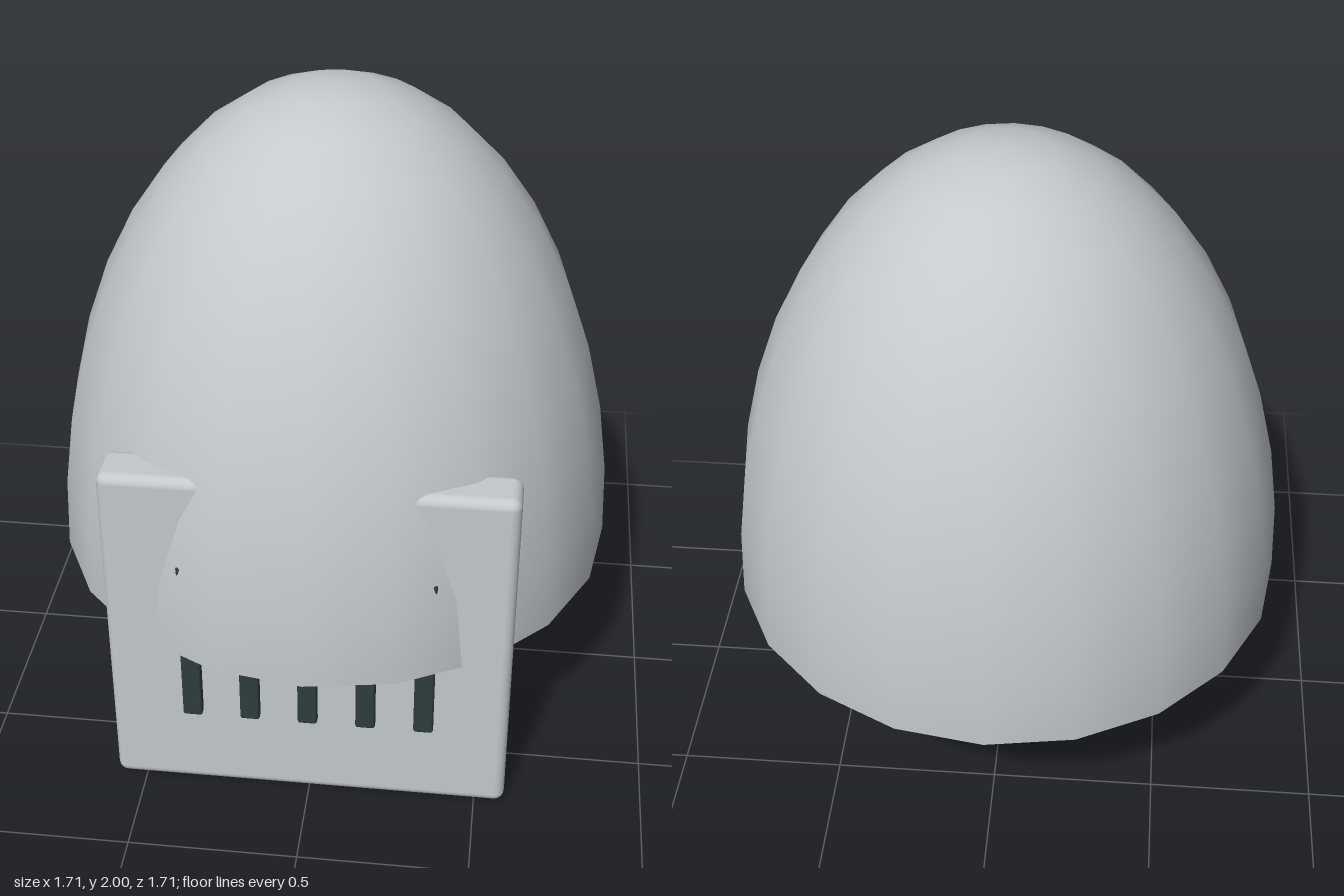
import * as THREE from 'three';
import { RoundedBoxGeometry } from 'three/addons/geometries/RoundedBoxGeometry.js';

export function createModel() {
  const model = new THREE.Group();
  const shell = new THREE.MeshStandardMaterial({ color: 0xc3c9cc, side: THREE.DoubleSide });
  shell.name = 'light grey';
  const dark = new THREE.MeshStandardMaterial({ color: 0x2f3d3d });
  dark.name = 'dark slate';

  const add = (name, geometry, material, x, y, z) => {
    const mesh = new THREE.Mesh(geometry, material);
    mesh.name = name;
    mesh.position.set(x, y, z);
    model.add(mesh);
  };

  // Open half-ellipsoid dome
  const radius = 0.853, base = 0.525;
  const dome = new THREE.SphereGeometry(radius, 20, 10, 0, Math.PI * 2, 0, Math.PI / 2);
  dome.scale(1, (2 - base) / radius, 1);
  add('dome', dome, shell, 0, base, 0);

  // Rounded face plate set into the front of the dome
  const plateHeight = 1.11;
  add('facePlate', new RoundedBoxGeometry(1.18, plateHeight, 0.146, 3, 0.03), shell, 0, plateHeight / 2, 0.645);

  // Row of five vent bars, mostly tucked behind the dome
  const bar = new RoundedBoxGeometry(0.058, 0.55, 0.058, 2, 0.008);
  for (let i = -2; i <= 2; i++) {
    add('ventBar', bar, dark, i * 0.171, plateHeight / 2, 0.712);
  }
  return model;
}
